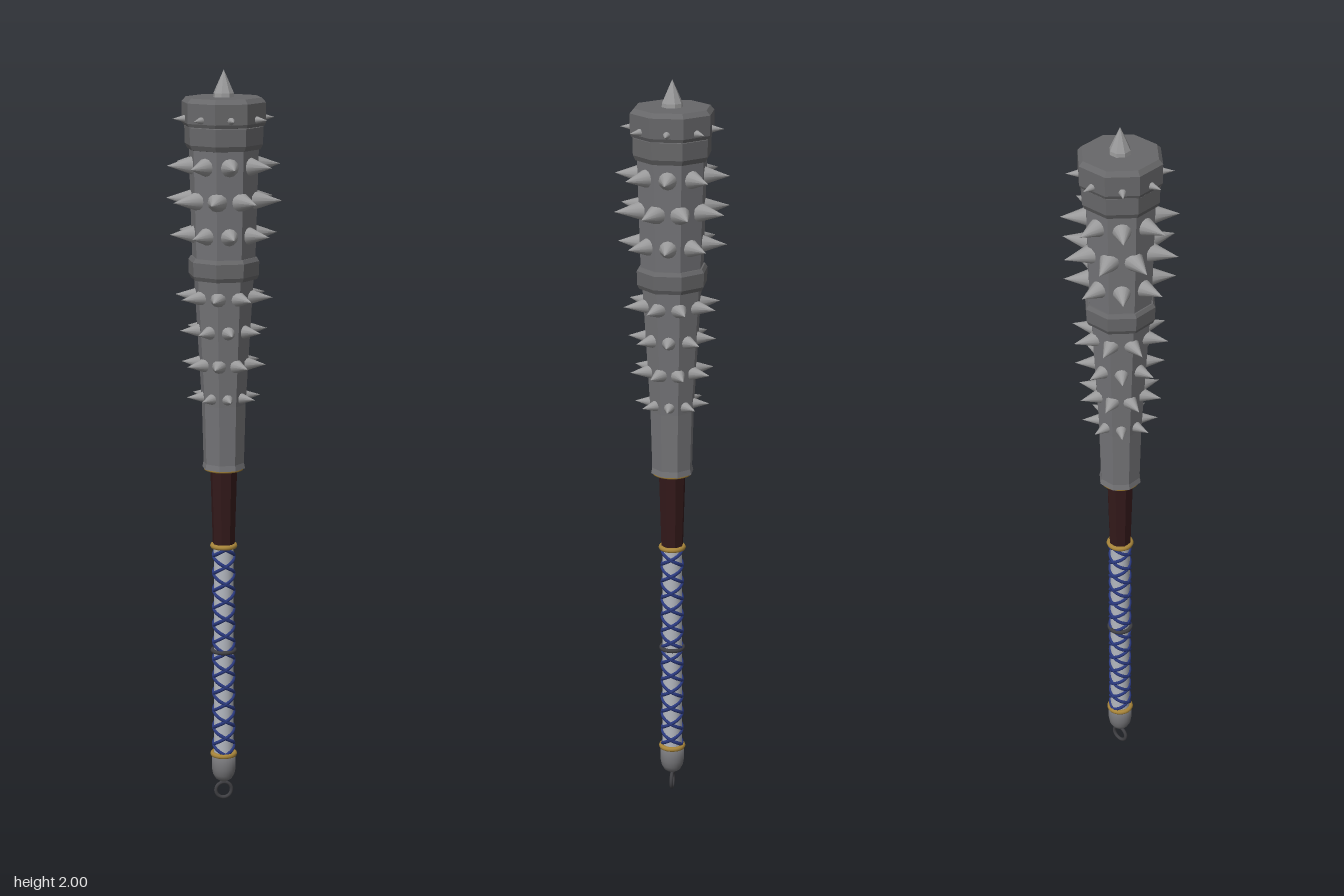
import * as THREE from 'three';

const mat = (name, color) => {
  const m = new THREE.MeshStandardMaterial({ color });
  m.name = name;
  return m;
};

export function createModel() {
  const club = new THREE.Group();
  club.name = 'spikedClub';

  const iron = mat('iron', 0x737376);
  const capIron = mat('capIron', 0x68686a);
  const steel = mat('spikeSteel', 0x9a9a9b);
  const wood = mat('darkWood', 0x33191a);
  const gold = mat('gold', 0xa8853a);
  const cloth = mat('gripCloth', 0xb4b8c0);
  const blue = mat('blueCord', 0x2b3a80);
  const dark = mat('darkIron', 0x404044);

  const add = (name, geometry, material, parent = club) => {
    const mesh = new THREE.Mesh(geometry, material);
    mesh.name = name;
    parent.add(mesh);
    return mesh;
  };

  // Eight-sided faceted solid from [half width, height] pairs, flats facing the axes
  const octagon = (profile) => {
    const k = 1 / Math.cos(Math.PI / 8);
    const pts = profile.map(([r, y]) => new THREE.Vector2(r * k, y));
    const g = new THREE.LatheGeometry(pts, 8, Math.PI / 8).toNonIndexed();
    g.computeVertexNormals();
    return g;
  };
  const round = (profile, n = 24) =>
    new THREE.LatheGeometry(profile.map(([r, y]) => new THREE.Vector2(r, y)), n);

  // Club head
  add('head', octagon([[0, 0.945], [0.054, 0.945], [0.051, 0.96], [0.054, 1.08],
    [0.055, 1.12], [0.074, 1.46], [0.078, 1.5], [0.086, 1.8], [0, 1.8]]), iron);
  add('middleBand', octagon([[0.07, 1.455], [0.082, 1.457], [0.087, 1.468],
    [0.088, 1.505], [0.082, 1.515], [0.07, 1.515]]), capIron);
  add('upperBand', octagon([[0.08, 1.795], [0.09, 1.797], [0.096, 1.81],
    [0.097, 1.855], [0.08, 1.86]]), capIron);
  add('cap', octagon([[0.08, 1.855], [0.099, 1.857], [0.103, 1.866], [0.103, 1.918],
    [0.093, 1.93], [0, 1.93]]), capIron);

  // Spike rows: [height, base distance, tip distance, base radius, half-step turn]
  const rows = [
    [1.876, 0.098, 0.135, 0.011, 0],
    [1.755, 0.078, 0.15, 0.026, 0],
    [1.665, 0.08, 0.155, 0.026, 1],
    [1.575, 0.074, 0.143, 0.025, 0],
    [1.41, 0.068, 0.131, 0.021, 1],
    [1.32, 0.06, 0.117, 0.02, 0],
    [1.23, 0.06, 0.114, 0.019, 1],
    [1.14, 0.051, 0.1, 0.016, 0],
  ];
  const spikes = new THREE.Group();
  spikes.name = 'spikes';
  club.add(spikes);
  for (const [y, base, tip, radius, half] of rows) {
    const length = tip - base;
    const g = new THREE.ConeGeometry(radius, length, 12);
    g.rotateX(Math.PI / 2);
    g.translate(0, 0, base + length / 2);
    for (let i = 0; i < 8; i++) {
      const spike = add('spike', g, steel, spikes);
      spike.position.y = y;
      spike.rotation.y = (i + half / 2) * Math.PI / 4;
    }
  }
  add('topSpike', octagon([[0.026, 1.925], [0.025, 1.94], [0.014, 1.967], [0, 2]]), steel);

  // Wooden neck
  add('neck', octagon([[0.026, 0.73], [0.028, 0.735], [0.034, 0.945]]), wood);

  // Gold trims
  const trim = (name, y, r, tube, material) => {
    const g = new THREE.TorusGeometry(r, tube, 8, 32);
    g.rotateX(Math.PI / 2);
    add(name, g, material).position.y = y;
  };
  trim('headTrim', 0.944, 0.049, 0.005, gold);
  trim('upperGripTrim', 0.728, 0.03, 0.007, gold);
  trim('lowerGripTrim', 0.134, 0.03, 0.007, gold);

  // Grip with crossed cords
  add('grip', round([[0.027, 0.13], [0.027, 0.73]]), cloth);
  const cords = new THREE.Group();
  cords.name = 'cords';
  club.add(cords);
  for (const dir of [1, -1]) {
    for (const start of [0, Math.PI]) {
      const pts = [];
      const turns = 6;
      for (let i = 0; i <= turns * 16; i++) {
        const t = i / (turns * 16);
        const a = start + dir * t * turns * Math.PI * 2;
        pts.push(new THREE.Vector3(Math.sin(a) * 0.0275, 0.137 + t * 0.586, Math.cos(a) * 0.0275));
      }
      const path = new THREE.CatmullRomCurve3(pts);
      add('cord', new THREE.TubeGeometry(path, turns * 28, 0.005, 6), blue, cords);
    }
  }
  trim('gripRing', 0.432, 0.03, 0.006, dark);

  // Pommel and hanging ring
  add('pommel', round([[0, 0.053], [0.012, 0.055], [0.023, 0.063], [0.03, 0.076],
    [0.033, 0.093], [0.033, 0.13], [0, 0.13]]), iron);
  add('hangingRing', new THREE.TorusGeometry(0.022, 0.005, 8, 28), dark).position.y = 0.027;

  return club;
}
